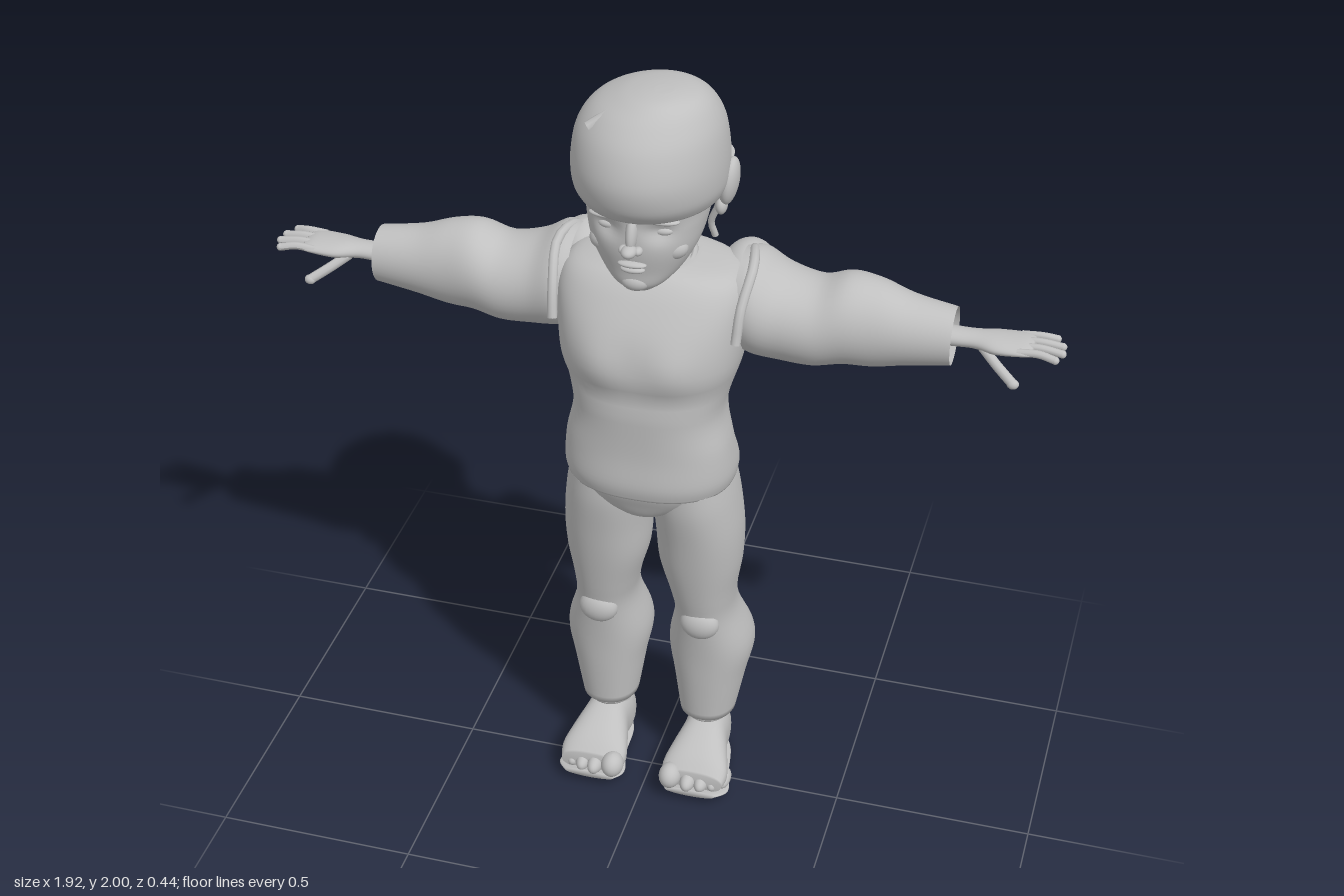
import * as THREE from 'three';

const grey = new THREE.MeshStandardMaterial({ color: 0xc0c0c0, side: THREE.DoubleSide });
grey.name = 'plain grey';

// Smooth loft through rows [t, a0, a1, b0, b1]: bounds of a rounded section at t.
// axis y: a=x b=z, axis x: a=y b=z, axis z: a=x b=y
function loft(rows, axis, { power = 2, capped = true, seg = 40, steps = 5, deform } = {}) {
  const rings = [];
  const at = i => rows[Math.max(0, Math.min(rows.length - 1, i))];
  for (let i = 0; i < rows.length - 1; i++) {
    for (let s = 0; s < steps; s++) rings.push(blend(i, s / steps));
  }
  rings.push(rows[rows.length - 1]);
  function blend(i, u) {
    const [p, q, r, w] = [at(i - 1), at(i), at(i + 1), at(i + 2)];
    return q.map((v, k) => 0.5 * (2 * v + (r[k] - p[k]) * u
      + (2 * p[k] - 5 * v + 4 * r[k] - w[k]) * u * u + (3 * v - p[k] - 3 * r[k] + w[k]) * u ** 3));
  }
  const pos = [], index = [];
  const put = (a, b, t) => {
    const v = axis === 'y' ? [a, t, b] : axis === 'x' ? [t, a, b] : [a, b, t];
    pos.push(...(deform ? deform(...v) : v));
  };
  const tri = (a, b, c) => (axis === 'y' ? index.push(a, c, b) : index.push(a, b, c));
  const round = v => Math.sign(v) * Math.abs(v) ** (2 / power);
  for (const [t, a0, a1, b0, b1] of rings) {
    for (let j = 0; j < seg; j++) {
      const g = (j / seg) * Math.PI * 2;
      put((a0 + a1) / 2 + (a1 - a0) / 2 * round(Math.cos(g)),
        (b0 + b1) / 2 + (b1 - b0) / 2 * round(Math.sin(g)), t);
    }
  }
  for (let i = 0; i < rings.length - 1; i++) {
    for (let j = 0; j < seg; j++) {
      const a = i * seg + j, b = i * seg + (j + 1) % seg;
      tri(a, b, b + seg);
      tri(a, b + seg, a + seg);
    }
  }
  if (capped) {
    for (const [i, first] of [[0, true], [rings.length - 1, false]]) {
      const [t, a0, a1, b0, b1] = rings[i], c = pos.length / 3;
      put((a0 + a1) / 2, (b0 + b1) / 2, t);
      for (let j = 0; j < seg; j++) {
        const a = i * seg + j, b = i * seg + (j + 1) % seg;
        first ? tri(c, b, a) : tri(c, a, b);
      }
    }
  }
  const geo = new THREE.BufferGeometry();
  geo.setAttribute('position', new THREE.Float32BufferAttribute(pos, 3));
  geo.setIndex(index);
  geo.computeVertexNormals();
  return geo;
}

function blob(x, y, z, rx, ry, rz, turnX = 0, turnZ = 0) {
  return new THREE.SphereGeometry(1, 24, 16).scale(rx, ry, rz).rotateX(turnX).rotateZ(turnZ).translate(x, y, z);
}

function tube(points, r) {
  const curve = new THREE.CatmullRomCurve3(points.map(p => new THREE.Vector3(...p)));
  return new THREE.TubeGeometry(curve, 12, r, 10);
}

function mirrored(geo) {
  const m = geo.clone().scale(-1, 1, 1), ix = m.index.array;
  for (let i = 0; i < ix.length; i += 3) [ix[i], ix[i + 1]] = [ix[i + 1], ix[i]];
  m.computeVertexNormals();
  return m;
}

export function createModel() {
  const model = new THREE.Group();
  model.name = 'childFigure';
  const add = (name, geo) => {
    const mesh = new THREE.Mesh(geo, grey);
    mesh.name = name;
    model.add(mesh);
  };
  const pair = (name, geo) => {
    add(name + 'Left', geo);
    add(name + 'Right', mirrored(geo));
  };
  const bump = (v, c, w) => Math.exp(-(((v - c) / w) ** 2));

  // Torso with chest, waist and a groove along the spine
  add('torso', loft([
    [0.96, -0.205, 0.205, -0.185, 0.15], [1.0, -0.21, 0.21, -0.17, 0.158],
    [1.08, -0.2, 0.2, -0.13, 0.155], [1.18, -0.183, 0.183, -0.15, 0.16],
    [1.3, -0.215, 0.215, -0.195, 0.17], [1.4, -0.225, 0.225, -0.2, 0.155],
    [1.48, -0.225, 0.225, -0.185, 0.115], [1.525, -0.19, 0.19, -0.165, 0.08],
    [1.545, -0.09, 0.09, -0.14, 0.05],
  ], 'y', {
    power: 2.4, seg: 64, deform: (x, y, z) => [x, y, z < 0
      ? z + 0.025 * bump(x, 0, 0.035) * bump(y, 1.28, 0.2)
      : z + 0.012 * bump(Math.abs(x), 0.09, 0.06) * bump(y, 1.34, 0.06) - 0.01 * bump(y, 1.25, 0.03)],
  }));

  // Briefs with parted buttocks
  add('briefs', loft([
    [0.865, -0.04, 0.04, -0.1, 0.08], [0.89, -0.1, 0.1, -0.17, 0.115],
    [0.93, -0.185, 0.185, -0.2, 0.135], [0.97, -0.205, 0.205, -0.2, 0.15], [1.01, -0.205, 0.205, -0.165, 0.152],
  ], 'y', {
    power: 2.3, seg: 64, deform: (x, y, z) => [x, y, z < 0 ? z + 0.045 * bump(x, 0, 0.025) * bump(y, 0.91, 0.06) : z],
  }));

  // Legs, knees and ankles
  pair('leg', loft([
    [0.97, 0.01, 0.2, -0.15, 0.125], [0.9, 0.006, 0.213, -0.16, 0.12], [0.8, 0.01, 0.224, -0.16, 0.1],
    [0.7, 0.016, 0.222, -0.155, 0.08], [0.6, 0.042, 0.208, -0.14, 0.058], [0.52, 0.05, 0.21, -0.165, 0.04],
    [0.4, 0.027, 0.243, -0.218, 0.022], [0.3, 0.042, 0.226, -0.192, 0.012], [0.18, 0.06, 0.203, -0.162, 0],
  ].reverse(), 'y', { power: 2.15 }));
  pair('kneecap', blob(0.132, 0.52, 0.025, 0.05, 0.045, 0.032));
  pair('ankle', loft([
    [0.11, 0.08, 0.182, -0.15, -0.02], [0.15, 0.085, 0.178, -0.145, -0.03], [0.2, 0.08, 0.182, -0.15, -0.025],
  ], 'y'));
  const ankleBand = new THREE.TorusGeometry(1, 0.09, 8, 32).rotateX(Math.PI / 2).scale(0.055, 0.1, 0.065);
  pair('ankleBand', ankleBand.translate(0.131, 0.165, -0.087));

  // Feet and toes
  pair('foot', loft([
    [-0.162, 0.11, 0.15, 0.04, 0.085], [-0.145, 0.085, 0.177, 0.005, 0.13], [-0.1, 0.075, 0.188, 0, 0.158],
    [-0.04, 0.074, 0.194, 0.01, 0.162], [0.02, 0.06, 0.21, 0.015, 0.142], [0.07, 0.05, 0.222, 0.02, 0.115],
    [0.105, 0.058, 0.215, 0.03, 0.085],
  ], 'z', { power: 2.4 }));
  for (let i = 0; i < 5; i++) {
    const r = i ? 0.021 - i * 0.001 : 0.029;
    pair('toe' + (i + 1), blob([0.078, 0.125, 0.159, 0.188, 0.211][i], r + 0.036 - i * 0.002, 0.102 - i * i * 0.003, r, r * 1.15, 0.036));
  }
  pair('sole', loft([
    [-0.155, 0.1, 0.16, 0.005, 0.025], [-0.1, 0.078, 0.19, 0, 0.022],
    [0, 0.07, 0.21, 0.01, 0.03], [0.08, 0.052, 0.228, 0.015, 0.035], [0.125, 0.07, 0.2, 0.025, 0.045],
  ], 'z'));

  // Arms end in an open cuff
  pair('arm', loft([
    [0.2, 1.31, 1.55, -0.2, 0.035], [0.24, 1.295, 1.55, -0.215, 0.045], [0.3, 1.287, 1.515, -0.21, 0.034],
    [0.38, 1.285, 1.5, -0.198, 0.03], [0.45, 1.298, 1.523, -0.188, 0.022], [0.52, 1.3, 1.515, -0.178, 0.01],
    [0.6, 1.318, 1.49, -0.16, 0], [0.7, 1.335, 1.475, -0.142, -0.01],
  ], 'x', { capped: false }));
  pair('shoulderFlap', blob(0.2, 1.46, -0.13, 0.07, 0.085, 0.09));
  pair('shoulderRim', tube([[0.22, 1.39, 0.075], [0.225, 1.47, 0.05], [0.235, 1.54, -0.02], [0.22, 1.545, -0.1], [0.2, 1.5, -0.17]], 0.012));

  // Hands
  pair('hand', loft([
    [0.6, 1.385, 1.435, -0.105, -0.035], [0.7, 1.39, 1.432, -0.1, -0.037], [0.75, 1.393, 1.432, -0.1, -0.035],
    [0.8, 1.393, 1.433, -0.113, -0.017], [0.86, 1.4, 1.43, -0.118, -0.016], [0.885, 1.407, 1.423, -0.112, -0.02],
  ], 'x'));
  [0.93, 0.947, 0.95, 0.938].forEach((tip, i) => {
    const z = -0.108 + i * 0.027, end = z + (i - 1.5) * 0.004;
    pair('finger' + (i + 1), tube([[0.85, 1.416, z], [0.9, 1.419, z], [tip, 1.413, end]], 0.0095));
    pair('fingertip' + (i + 1), blob(tip, 1.413, end, 0.0095, 0.0095, 0.0095));
  });
  pair('thumb', tube([[0.77, 1.405, -0.045], [0.81, 1.38, -0.015], [0.852, 1.355, 0.012]], 0.012));
  pair('thumbTip', blob(0.852, 1.355, 0.012, 0.014, 0.012, 0.012));

  // Neck and collar
  add('neck', loft([
    [1.48, -0.1, 0.1, -0.14, 0.07], [1.54, -0.075, 0.075, -0.125, 0.065],
    [1.6, -0.075, 0.075, -0.125, 0.07], [1.68, -0.09, 0.09, -0.14, 0.06],
  ], 'y'));
  add('collar', new THREE.TorusGeometry(1, 0.09, 8, 48).rotateX(Math.PI / 2)
    .scale(0.09, 0.12, 0.1).rotateX(0.18).translate(0, 1.538, -0.035));

  // Face
  add('face', loft([
    [1.535, -0.035, 0.035, 0.075, 0.135], [1.555, -0.065, 0.065, 0.03, 0.15], [1.59, -0.098, 0.098, -0.03, 0.155],
    [1.64, -0.125, 0.125, -0.08, 0.165], [1.69, -0.138, 0.138, -0.12, 0.168], [1.73, -0.143, 0.143, -0.13, 0.168],
    [1.8, -0.15, 0.15, -0.13, 0.18],
  ], 'y', {
    power: 2.15, seg: 64, deform: (x, y, z) => [x, y, z > 0 ? z - 0.016 * bump(Math.abs(x), 0.06, 0.03) * bump(y, 1.7, 0.022) : z],
  }));
  add('noseBridge', blob(0, 1.7, 0.163, 0.014, 0.045, 0.022, -0.35));
  add('noseTip', blob(0, 1.664, 0.187, 0.018, 0.014, 0.024));
  pair('nostril', blob(0.017, 1.66, 0.173, 0.011, 0.01, 0.014));
  add('upperLip', blob(0, 1.618, 0.161, 0.034, 0.008, 0.015));
  add('lowerLip', blob(0, 1.603, 0.157, 0.029, 0.009, 0.015));
  add('chin', blob(0, 1.56, 0.135, 0.034, 0.023, 0.023));
  pair('eye', blob(0.06, 1.698, 0.13, 0.027, 0.012, 0.015));
  pair('brow', blob(0.06, 1.729, 0.142, 0.045, 0.009, 0.02));
  pair('cheek', blob(0.075, 1.645, 0.105, 0.04, 0.03, 0.032));

  // Hair: fringed cap, nape, parted sweep and side locks
  add('hairCap', loft([
    [1.735, -0.165, 0.165, -0.204, 0.185], [1.77, -0.176, 0.176, -0.21, 0.21], [1.83, -0.177, 0.177, -0.208, 0.22],
    [1.9, -0.164, 0.168, -0.185, 0.2], [1.95, -0.128, 0.148, -0.14, 0.165], [1.98, -0.07, 0.122, -0.085, 0.13],
    [1.993, -0.02, 0.09, -0.03, 0.1], [1.998, 0.02, 0.06, 0.02, 0.06],
  ], 'y', { seg: 56 }));
  add('hairNape', loft([
    [1.635, -0.085, 0.085, -0.15, -0.03], [1.66, -0.11, 0.11, -0.172, -0.02],
    [1.7, -0.14, 0.14, -0.193, -0.01], [1.78, -0.165, 0.165, -0.208, 0],
  ], 'y'));
  add('hairSweep', tube([[-0.11, 1.925, 0.125], [-0.045, 1.965, 0.09], [0.02, 1.982, 0.03], [0.07, 1.965, -0.05]], 0.014));
  add('napeBand', tube([[-0.1, 1.62, -0.06], [-0.075, 1.618, -0.125], [0, 1.615, -0.15], [0.075, 1.618, -0.125], [0.1, 1.62, -0.06]], 0.01));
  pair('sideLock', tube([[0.152, 1.74, -0.04], [0.14, 1.67, -0.06], [0.122, 1.62, -0.07], [0.13, 1.58, -0.08]], 0.008));

  // Ears
  pair('ear', blob(0.172, 1.752, -0.035, 0.022, 0.058, 0.04, -0.15, -0.12));
  pair('earlobe', blob(0.158, 1.695, -0.02, 0.014, 0.022, 0.02));

  return model;
}
